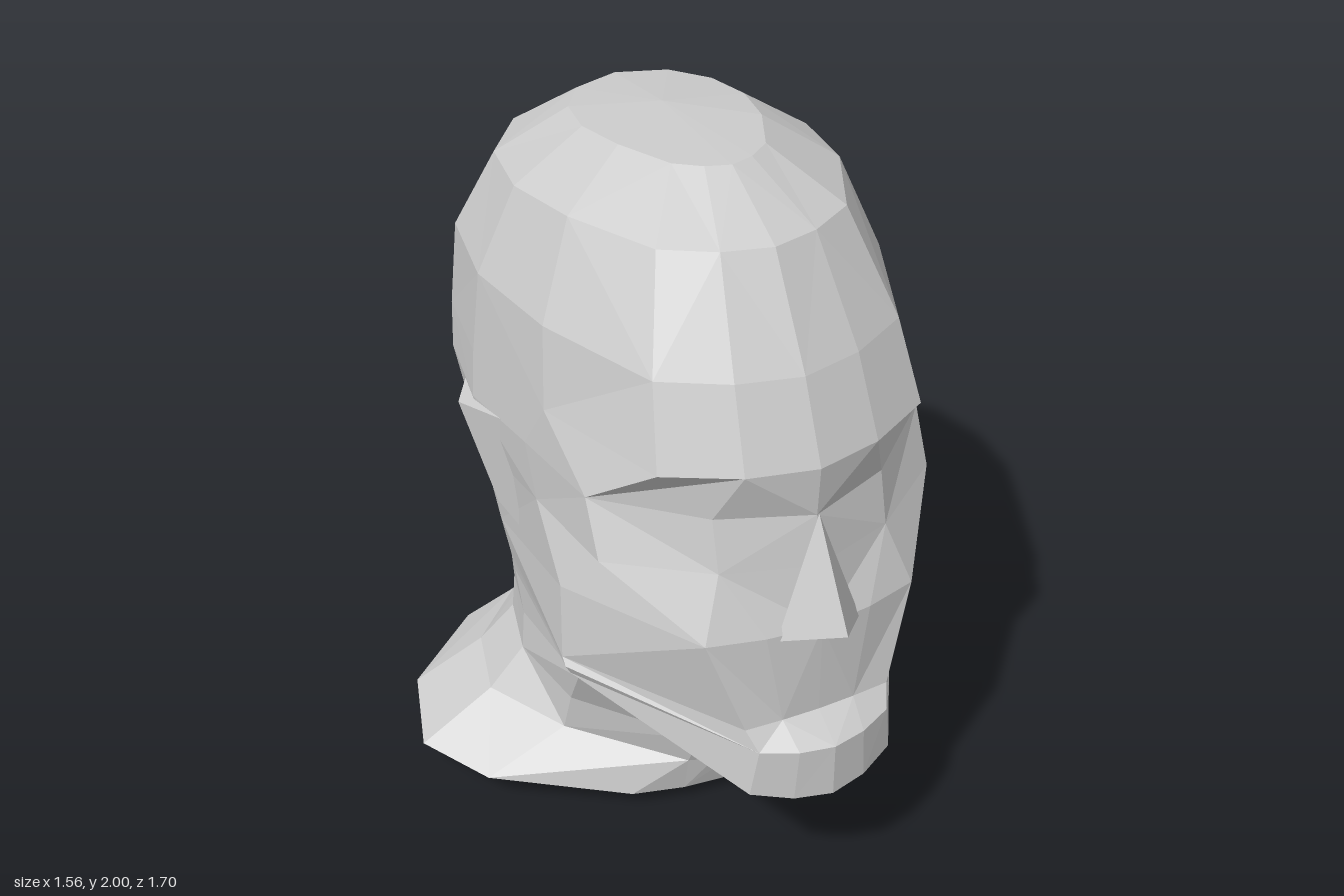
import * as THREE from 'three';
import { ConvexGeometry } from 'three/addons/geometries/ConvexGeometry.js';

const mat = new THREE.MeshStandardMaterial({ color: 0xcccccc, flatShading: true });
const mix = (a, b, t) => a + (b - a) * t;

// Each cross-section: front y,z | front corner x,z | side x,y | widest x,z | back y,z
const cranium = [
  [1.98, 0.22, 0.13, 0.15, 0.2, 1.985, 0.23, -0.15, 1.97, -0.45],
  [1.86, 0.44, 0.26, 0.33, 0.38, 1.87, 0.42, -0.15, 1.83, -0.67],
  [1.59, 0.6, 0.34, 0.47, 0.48, 1.62, 0.52, -0.18, 1.62, -0.82],
  [1.38, 0.69, 0.37, 0.55, 0.5, 1.4, 0.54, -0.2, 1.36, -0.85],
  [1.24, 0.68, 0.48, 0.37, 0.52, 1.26, 0.55, -0.2, 1.23, -0.83],
];
const face = [
  cranium[4],
  [1.1, 0.7, 0.48, 0.44, 0.51, 1.1, 0.52, -0.2, 1.02, -0.74],
  [0.93, 0.73, 0.3, 0.67, 0.505, 0.9, 0.5, -0.18, 0.8, -0.58],
  [0.66, 0.73, 0.21, 0.72, 0.515, 0.68, 0.47, -0.2, 0.73, -0.55],
  [0.6, 0.82, 0.19, 0.76, 0.515, 0.66, 0.465, -0.2, 0.69, -0.54],
  [0.44, 0.82, 0.21, 0.75, 0.5, 0.63, 0.46, -0.2, 0.65, -0.54],
];
const neck = [
  face[5],
  [0.36, 0.58, 0.2, 0.5, 0.43, 0.5, 0.45, -0.18, 0.5, -0.57],
  [0.27, 0.42, 0.14, 0.33, 0.42, 0.36, 0.46, -0.18, 0.4, -0.58],
  [0.17, 0.31, 0.15, 0.28, 0.43, 0.23, 0.56, -0.2, 0.27, -0.67],
];
const shoulders = [
  neck[3],
  [0.05, 0.27, 0.3, 0.22, 0.66, 0.1, 0.78, -0.2, 0.15, -0.77],
  [0, 0.2, 0.25, 0.17, 0.52, 0.01, 0.63, -0.2, 0.1, -0.66],
];

// Closed loop of 14 points: front centre, left side, back centre, mirrored right side
function ring([yf, zf, cx, cz, sx, sy, w, zw, yb, zb]) {
  const sz = mix(cz, zw, 0.5);
  const frontY = z => mix(yf, sy, (zf - z) / (zf - sz));
  const backY = z => mix(sy, yb, (sz - z) / (sz - zb));
  const z1 = mix(zf, cz, 0.3), z5 = mix(zw, zb, 0.46), z6 = mix(zw, zb, 0.83);
  const half = [
    [0, yf, zf], [cx * 0.5, frontY(z1), z1], [cx, frontY(cz), cz], [sx, sy, sz],
    [w, backY(zw), zw], [w * 0.9, backY(z5), z5], [w * 0.58, backY(z6), z6], [0, yb, zb],
  ];
  return half.concat(half.slice(1, 7).reverse().map(([x, y, z]) => [-x, y, z]));
}

function facets(triangles) {
  const g = new THREE.BufferGeometry();
  g.setAttribute('position', new THREE.Float32BufferAttribute(triangles.flat(2), 3));
  g.computeVertexNormals();
  return g;
}

// Skin the cross-sections from top to bottom, with optional closing points
function loft(sections, top, bottom) {
  const rings = sections.map(ring), n = rings[0].length, tris = [];
  for (let j = 0; j < n; j++) {
    const k = (j + 1) % n;
    if (top) tris.push([top, rings[0][j], rings[0][k]]);
    for (let i = 0; i + 1 < rings.length; i++) {
      const a = rings[i][j], b = rings[i + 1][j], c = rings[i + 1][k], d = rings[i][k];
      // Alternate the diagonals, the same way on both halves
      const side = j < n / 2 ? j : n - 1 - j;
      const flip = (i + side + (j < n / 2 ? 0 : 1)) % 2;
      if (flip) tris.push([a, b, d], [b, c, d]);
      else tris.push([a, b, c], [a, c, d]);
    }
    const last = rings[rings.length - 1];
    if (bottom) tris.push([bottom, last[k], last[j]]);
  }
  return facets(tris);
}

export function createModel() {
  const group = new THREE.Group();
  const add = (name, geometry) => {
    const mesh = new THREE.Mesh(geometry, mat);
    mesh.name = name;
    group.add(mesh);
  };

  add('cranium', loft(cranium, [0, 2, -0.16]));
  add('faceAndJaw', loft(face));
  add('neck', loft(neck));
  add('shoulders', loft(shoulders, null, [0, 0.045, -0.2]));

  // Nose: a wedge from the bridge to the tip
  const hull = points => new ConvexGeometry(points.map(p => new THREE.Vector3(...p)));
  add('nose', hull([
    [0, 1.25, 0.69], [0, 0.98, 0.85], [0.12, 0.91, 0.71], [-0.12, 0.91, 0.71],
    [0, 0.92, 0.74], [0, 1, 0.64],
  ]));

  // Ears: flaps that widen backwards from the cheek
  for (const s of [1, -1]) {
    add(s > 0 ? 'leftEar' : 'rightEar', hull([
      [0.5, 1.28, 0.07], [0.585, 1.23, -0.22], [0.48, 0.88, 0.03],
      [0.53, 0.96, -0.11], [0.5, 1.24, -0.36], [0.44, 1.05, -0.18],
    ].map(([x, y, z]) => [s * x, y, z])));
  }
  return group;
}
